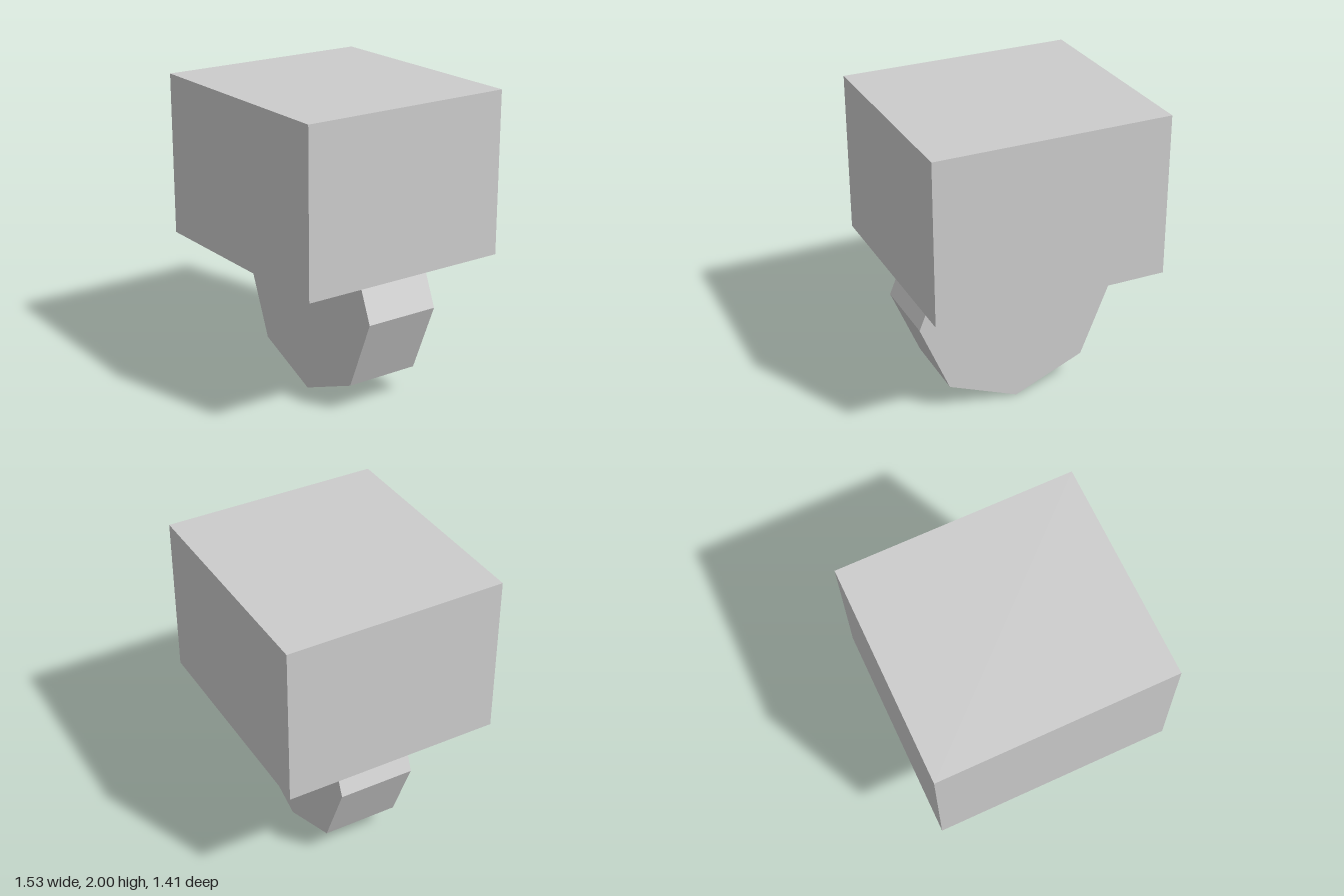
import * as THREE from 'three';

export function createModel() {
  const model = new THREE.Group();
  const material = new THREE.MeshStandardMaterial({ color: 0xcccccc, flatShading: true });

  function addPart(name, geometry, x, y, z) {
    const mesh = new THREE.Mesh(geometry, material);
    mesh.name = name;
    mesh.position.set(x, y, z);
    model.add(mesh);
    return mesh;
  }

  // Large block on top
  addPart('block', new THREE.BoxGeometry(1.53, 1.055, 1.414), 0, 1.4725, 0);

  // Eight-sided wheel standing on one corner, its upper part sunk into the block
  const wheelRadius = 0.663;
  const wheel = addPart('wheel', new THREE.CylinderGeometry(wheelRadius, wheelRadius, 0.498, 8), 0.034, wheelRadius, -0.028);
  wheel.rotation.x = Math.PI / 2;

  return model;
}
